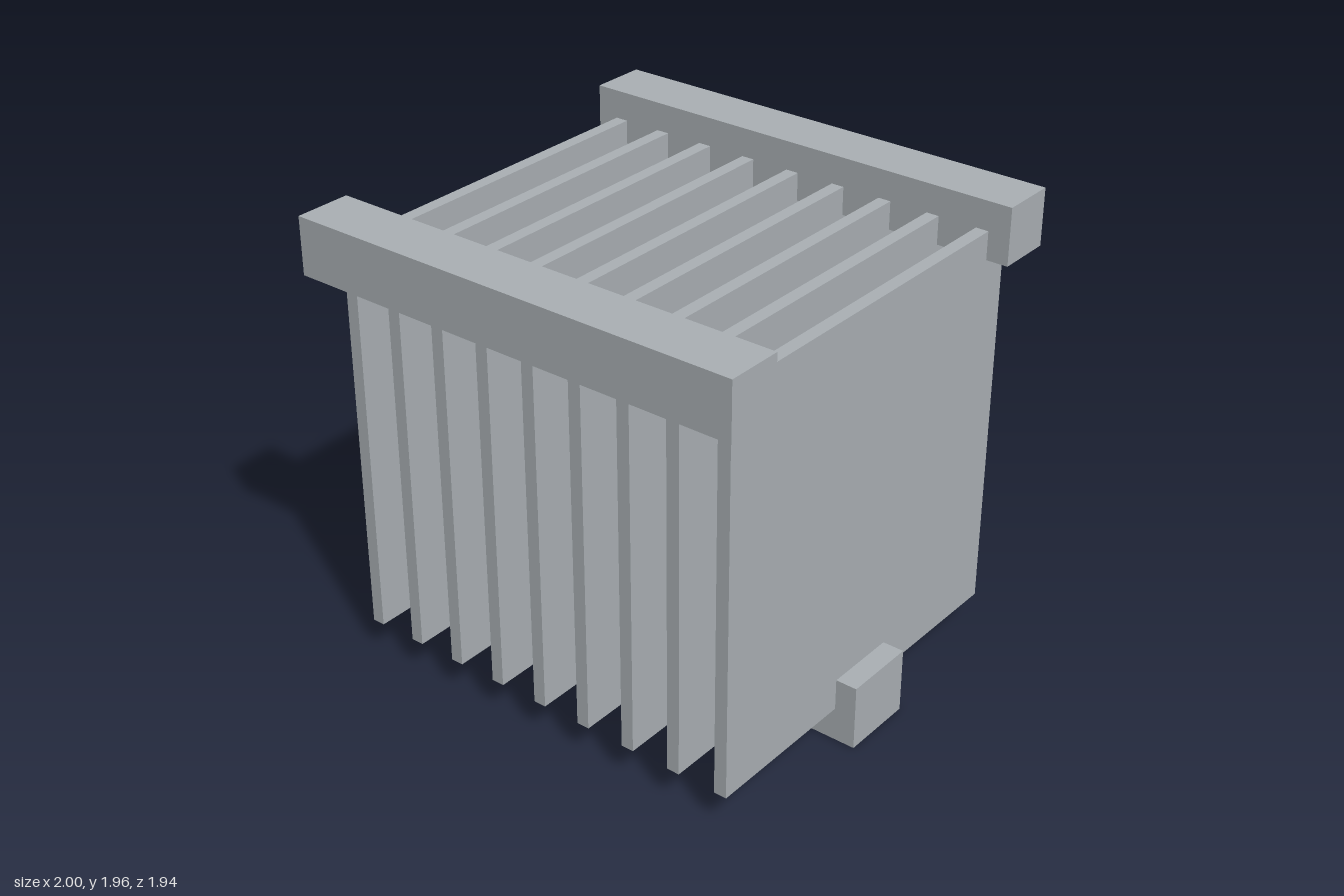
import * as THREE from 'three';

export function createModel() {
  const model = new THREE.Group();
  model.name = 'finnedRack';

  const grey = new THREE.MeshStandardMaterial({ color: 0xabb1b5 });
  grey.name = 'lightGrey';

  // Box given by its size and centre
  function addBox(name, size, centre) {
    const mesh = new THREE.Mesh(new THREE.BoxGeometry(...size), grey);
    mesh.name = name;
    mesh.position.set(...centre);
    model.add(mesh);
  }

  // Two upper rails, notched over the top corners of the plates
  addBox('frontTopRail', [2, 0.24, 0.24], [0, 1.842, 0.848]);
  addBox('backTopRail', [2, 0.24, 0.24], [0, 1.842, -0.848]);

  // Lower rail that the plates stand in
  addBox('bottomRail', [2, 0.28, 0.32], [0, 0.14, 0]);

  // Row of nine upright plates
  const count = 9;
  const spacing = 0.22;
  for (let i = 0; i < count; i++) {
    const x = (i - (count - 1) / 2) * spacing;
    addBox(`plate${i + 1}`, [0.055, 1.696, 1.696], [x, 0.993, 0]);
  }

  return model;
}
